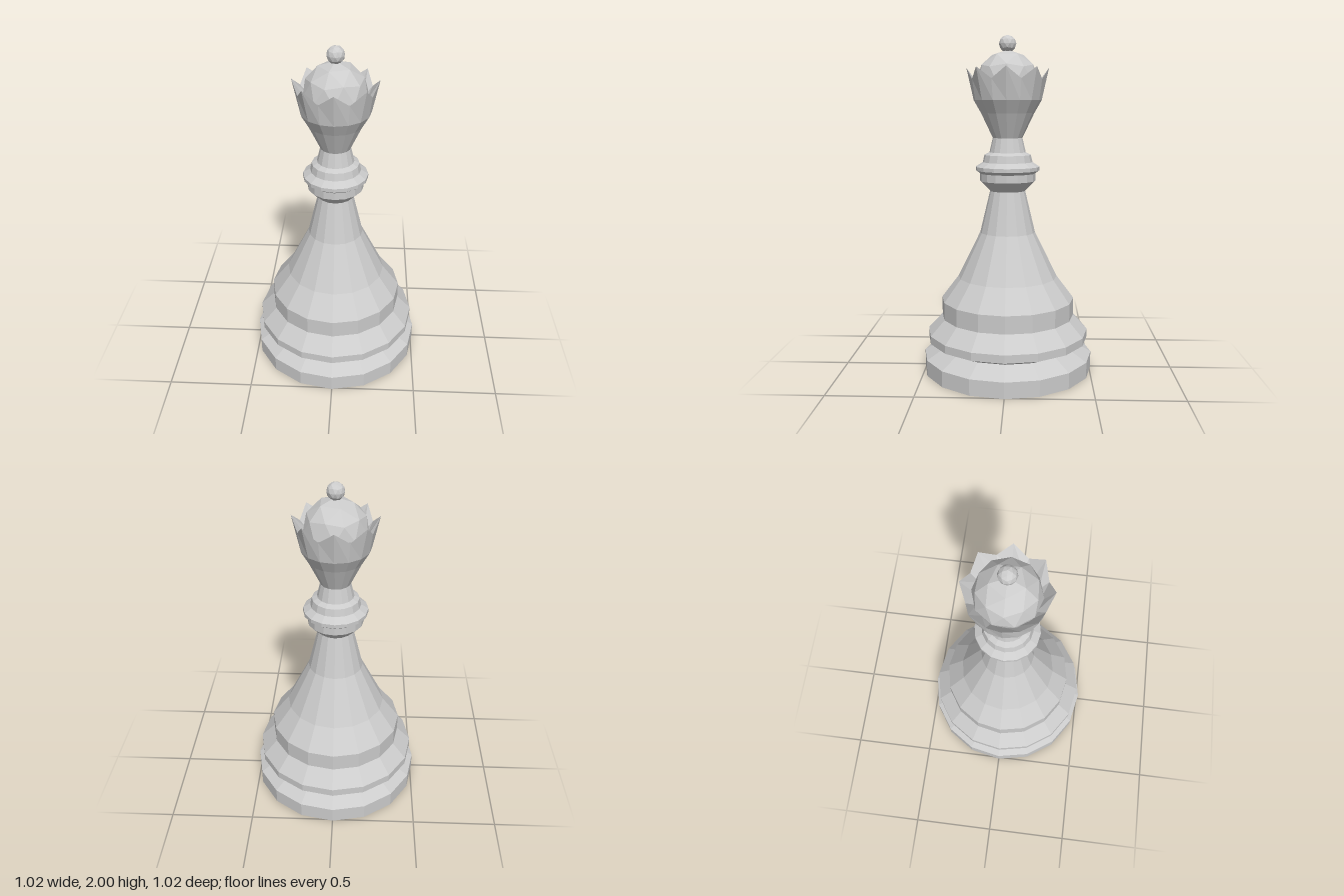
import * as THREE from 'three';

const SIDES = 16;

export function createModel() {
  const group = new THREE.Group();
  const material = new THREE.MeshStandardMaterial({ color: 0xcccccc, flatShading: true });

  const add = (name, geometry, y = 0) => {
    const mesh = new THREE.Mesh(geometry, material);
    mesh.name = name;
    mesh.position.y = y;
    group.add(mesh);
  };
  // Profiles are [radius, height] pairs listed from the bottom up
  const turned = (profile) =>
    new THREE.LatheGeometry(profile.map(([r, y]) => new THREE.Vector2(r, y)), SIDES);
  // Low-poly ball with a vertex pointing straight up
  const ball = (radius) =>
    new THREE.IcosahedronGeometry(radius, 1).rotateZ(Math.atan(2 / (1 + Math.sqrt(5))));

  // Stepped foot
  add('base', turned([
    [0, 0], [0.51, 0], [0.51, 0.095], [0.405, 0.157],
    [0.485, 0.193], [0.485, 0.24], [0.4, 0.33],
  ]));

  // Tapering stem
  add('body', turned([
    [0.4, 0.33], [0.4, 0.435], [0.298, 0.57], [0.165, 0.84], [0.105, 1.09],
  ]));

  // Ringed collar and neck
  add('collar', turned([
    [0.105, 1.09], [0.165, 1.15], [0.165, 1.195], [0.19, 1.213], [0.19, 1.235],
    [0.148, 1.262], [0.138, 1.305], [0.108, 1.32], [0.088, 1.405],
  ]));

  // Flared head
  add('head', turned([[0.088, 1.405], [0.157, 1.55], [0.2, 1.625]]));

  // Crown: the rim drops at every other side to leave eight points
  const crown = turned([[0.2, 1.625], [0.242, 1.812], [0.165, 1.69]]);
  const position = crown.attributes.position;
  for (let side = 1; side <= SIDES; side += 2) {
    const i = side * 3 + 1;
    const shrink = 0.218 / 0.242;
    position.setXYZ(i, position.getX(i) * shrink, 1.745, position.getZ(i) * shrink);
  }
  add('crown', crown);

  // Rounded cap and finial
  add('dome', ball(0.185), 1.73);
  add('finial', ball(0.051), 1.949);

  return group;
}
